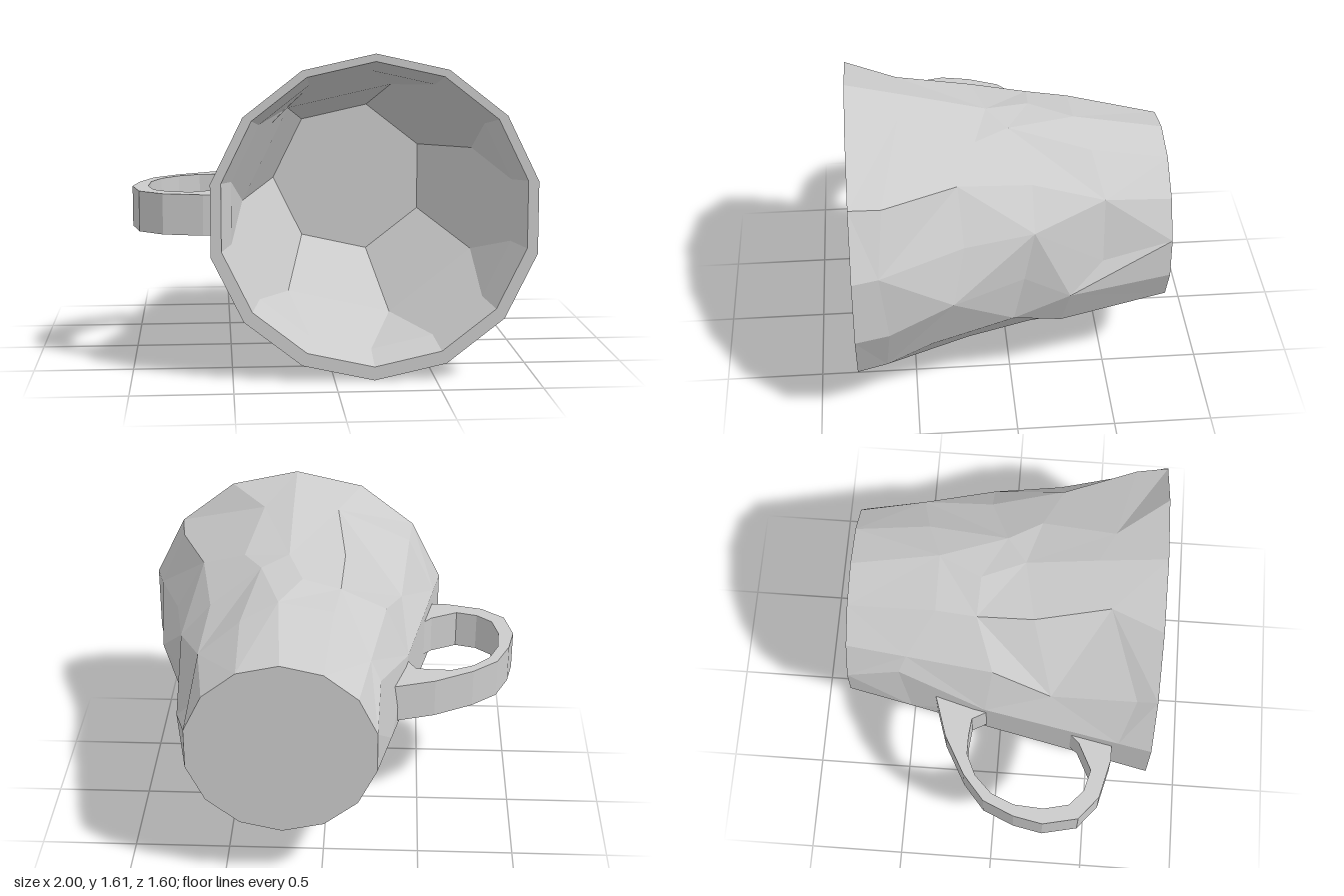
import * as THREE from 'three';

const SIDES = 14, CX = 0.197, CY = 0.805, WIDEN = 1.022;
const RING_Z = [0.8, 0.62, 0.26, -0.07, -0.43, -0.8];

// Dents: for each ring, column number (0 = top, clockwise from the front) -> moved point
const DENTS = [
  {},
  { 0: [0.2, 1.53, 0.46], 1: [0.36, 1.51, 0.54], 2: [0.82, 1.29, 0.64], 3: [0.96, 0.98, 0.67], 4: [0.96, 0.63, 0.63],
    5: [0.8, 0.31, 0.65], 6: [0.53, 0.13, 0.6], 7: [0.2, 0.08, 0.53], 12: [-0.43, 1.25, 0.7], 13: [-0.04, 1.5, 0.54] },
  { 0: [0.2, 1.44, 0.1], 1: [0.44, 1.4, 0.17], 2: [0.67, 1.3, 0.27], 3: [0.82, 1.04, 0.25], 4: [0.92, 0.77, 0.31],
    5: [0.8, 0.43, 0.42], 6: [0.5, 0.21, 0.22], 7: [0.2, 0.12, 0.22], 12: [-0.39, 1.12, 0.27], 13: [-0.09, 1.41, 0.16] },
  { 0: [0.12, 1.41, -0.12], 1: [0.34, 1.41, 0], 2: [0.6, 1.24, -0.1], 3: [0.76, 1.06, -0.1], 4: [0.765, 0.79, -0.05],
    5: [0.75, 0.53, 0], 6: [0.49, 0.29, -0.1], 7: [0.2, 0.22, -0.17] },
  { 0: [0.23, 1.39, -0.34], 1: [0.42, 1.31, -0.41], 2: [0.63, 1.15, -0.46], 3: [0.7, 0.83, -0.45], 4: [0.78, 0.68, -0.28],
    5: [0.67, 0.44, -0.25], 7: [0.2, 0.26, -0.48], 11: [-0.29, 1.05, -0.52], 13: [-0.05, 1.34, -0.34] },
  {},
];

const material = () => new THREE.MeshStandardMaterial({ color: 0xcccccc, flatShading: true });

function ringPoint(angleStep, r, z, cy = CY) {
  const a = angleStep / SIDES * Math.PI * 2;
  return new THREE.Vector3(CX + r * WIDEN * Math.sin(a), cy + r * Math.cos(a), z);
}

// Tapered outer wall, with a little wobble along the axis between the ends
function outerPoint(i, k) {
  if (DENTS[i][k]) return new THREE.Vector3(...DENTS[i][k]);
  const wobble = i > 0 && i < 5 ? 0.06 * Math.sin(k * 2.4 + i * 1.7) : 0;
  const z = RING_Z[i] + wobble;
  return ringPoint(k, 0.48 + 0.325 * (z + 0.8) / 1.6, z);
}

function buildBody() {
  const columns = Array.from({ length: SIDES }, (_, k) => k);
  const outer = RING_Z.map((_, i) => columns.map((k) => outerPoint(i, k)));
  // The inside narrows from 14 sides at the mouth to 7 at the floor
  const pair = (k) => k - k % 2 + 0.5;
  const inner = [
    columns.map((k) => ringPoint(k, 0.752, 0.8, 0.82)),
    columns.map((k) => ringPoint(k, 0.7, 0.62, 0.815)),
    columns.map((k) => ringPoint(pair(k), 0.62, 0.15)),
    columns.map((k) => ringPoint(pair(k), 0.43, -0.72)),
  ];

  const verts = [];
  const tri = (a, b, c) => {
    if (a.equals(b) || b.equals(c) || c.equals(a)) return;
    for (const p of [a, b, c]) verts.push(p.x, p.y, p.z);
  };
  const quad = (a, b, c, d) => { tri(a, b, c); tri(a, c, d); };
  const baseCentre = new THREE.Vector3(CX, CY, -0.8);
  const floorCentre = new THREE.Vector3(CX, CY, -0.72);

  for (const k of columns) {
    const n = (k + 1) % SIDES;
    for (let i = 0; i < 5; i++) {
      const [a, b, c, d] = [outer[i][k], outer[i][n], outer[i + 1][n], outer[i + 1][k]];
      if ((i + k) % 2) quad(b, c, d, a); else quad(a, b, c, d);
    }
    for (let i = 0; i < 3; i++) quad(inner[i][k], inner[i + 1][k], inner[i + 1][n], inner[i][n]);
    quad(outer[0][k], inner[0][k], inner[0][n], outer[0][n]); // rim
    tri(baseCentre, outer[5][k], outer[5][n]);
    tri(floorCentre, inner[3][n], inner[3][k]);
  }
  const geo = new THREE.BufferGeometry();
  geo.setAttribute('position', new THREE.Float32BufferAttribute(verts, 3));
  geo.computeVertexNormals();
  const mesh = new THREE.Mesh(geo, material());
  mesh.name = 'mugBody';
  return mesh;
}

function buildHandle() {
  // Outline in x and z, outside edge first, then back along the inside
  const outline = [
    [-0.35, -0.33], [-0.57, -0.26], [-0.77, -0.15], [-0.9, -0.04], [-0.97, 0.12], [-1, 0.27], [-0.96, 0.45],
    [-0.84, 0.55], [-0.64, 0.6], [-0.54, 0.6], [-0.48, 0.34],
    [-0.56, 0.43], [-0.7, 0.5], [-0.81, 0.47], [-0.89, 0.4], [-0.92, 0.27], [-0.91, 0.12], [-0.86, 0],
    [-0.77, -0.09], [-0.66, -0.14], [-0.56, -0.14], [-0.47, -0.13], [-0.41, -0.02],
  ];
  const shape = new THREE.Shape(outline.map(([x, z]) => new THREE.Vector2(x, z)));
  const geo = new THREE.ExtrudeGeometry(shape, { depth: 0.205, bevelEnabled: false });
  geo.rotateX(Math.PI / 2).translate(0, 0.905, 0);
  const mesh = new THREE.Mesh(geo, material());
  mesh.name = 'handle';
  return mesh;
}

export function createModel() {
  const mug = new THREE.Group();
  mug.name = 'dentedMug';
  mug.add(buildBody(), buildHandle());
  return mug;
}
